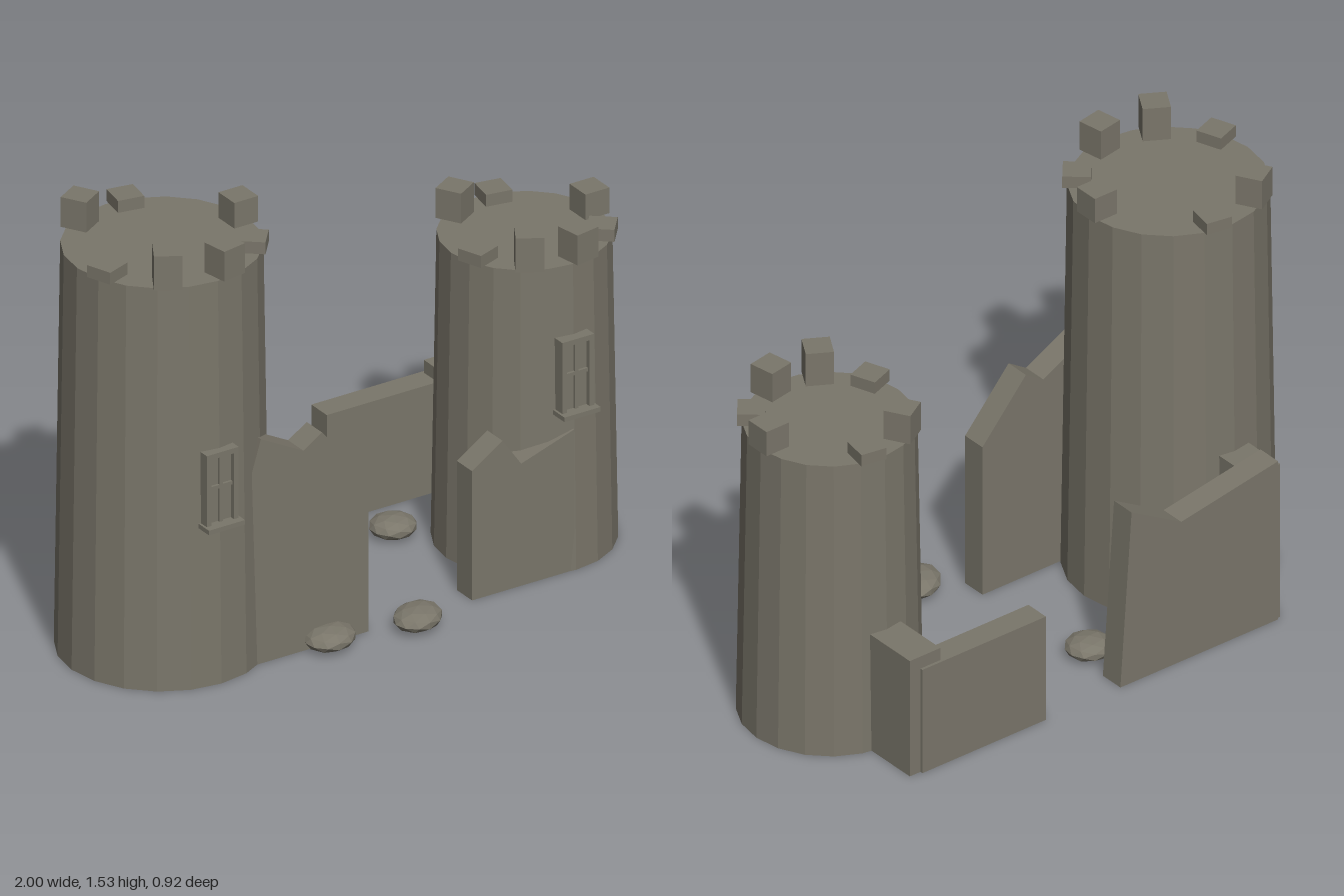
import * as THREE from 'three';

const stone = new THREE.MeshStandardMaterial({ color: 0x7a766a, flatShading: true });
stone.name = 'weathered stone';

function add(parent, name, geometry, x = 0, y = 0, z = 0) {
  const mesh = new THREE.Mesh(geometry, stone);
  mesh.name = name;
  mesh.position.set(x, y, z);
  parent.add(mesh);
  return mesh;
}

// Box given by its min and max corners
function block(parent, name, [x0, y0, z0], [x1, y1, z1]) {
  return add(parent, name, new THREE.BoxGeometry(x1 - x0, y1 - y0, z1 - z0),
    (x0 + x1) / 2, (y0 + y1) / 2, (z0 + z1) / 2);
}

// Broken wall: a front outline pushed from z0 to z1
function wall(parent, name, outline, z0, z1) {
  const shape = new THREE.Shape(outline.map(([x, y]) => new THREE.Vector2(x, y)));
  add(parent, name, new THREE.ExtrudeGeometry(shape, { depth: z1 - z0, bevelEnabled: false }), 0, 0, z0);
}

// Tapered round tower with crumbling merlons; two of the nine are missing
function tower(name, x, z, rBottom, rTop, height) {
  const group = new THREE.Group();
  group.name = name;
  group.position.set(x, 0, z);
  add(group, 'towerShaft', new THREE.CylinderGeometry(rTop, rBottom, height, 20), 0, height / 2, 0);
  const merlonHeights = [0.09, 0.042, 0.105, 0.12, 0.042, 0, 0.105, 0.042, 0];
  merlonHeights.forEach((h, i) => {
    if (!h) return;
    const a = i * Math.PI * 2 / 9, r = rTop - 0.032;
    const merlon = add(group, 'merlon', new THREE.BoxGeometry(0.09, h, 0.09),
      Math.cos(a) * r, height + h / 2, Math.sin(a) * r);
    merlon.rotation.y = -a;
  });
  return group;
}

// Framed window with sill and crossbars; zFront is the face of the frame
function windowUnit(x, zFront) {
  const group = new THREE.Group();
  group.name = 'window';
  group.position.set(x, 0, zFront);
  for (const s of [-1, 1]) {
    add(group, 'windowJamb', new THREE.BoxGeometry(0.018, 0.25, 0.07), s * 0.051, 0.7, -0.035);
  }
  add(group, 'windowHead', new THREE.BoxGeometry(0.084, 0.018, 0.07), 0, 0.816, -0.035);
  add(group, 'windowSill', new THREE.BoxGeometry(0.136, 0.016, 0.1), 0, 0.567, -0.026);
  add(group, 'windowPane', new THREE.BoxGeometry(0.084, 0.232, 0.04), 0, 0.691, -0.038);
  add(group, 'windowMullion', new THREE.BoxGeometry(0.012, 0.232, 0.05), 0, 0.691, -0.034);
  add(group, 'windowTransom', new THREE.BoxGeometry(0.084, 0.012, 0.05), 0, 0.7, -0.034);
  return group;
}

export function createModel() {
  const model = new THREE.Group();
  model.name = 'ruinedCastle';

  // Towers and their windows
  model.add(tower('tallTower', -0.66, 0.03, 0.34, 0.32, 1.41));
  model.add(tower('shortTower', 0.705, 0.03, 0.295, 0.277, 1.07));
  model.add(windowUnit(-0.665, 0.385), windowUnit(0.7, 0.345));

  // Front walls
  wall(model, 'frontWallRight', [[-0.52, 0], [-0.075, 0], [-0.075, 0.55], [-0.25, 0.75],
    [-0.32, 0.705], [-0.48, 0.79], [-0.52, 0.66]], 0.235, 0.322);
  wall(model, 'frontWallLeft', [[0.315, 0], [0.7, 0], [0.7, 0.495], [0.5, 0.43],
    [0.43, 0.53], [0.315, 0.455]], 0.235, 0.322);

  // Back walls and the short returns joining them to the towers
  wall(model, 'backWallRight', [[-0.71, 0], [-0.075, 0], [-0.12, 0.635], [-0.32, 0.52],
    [-0.71, 0.59]], -0.458, -0.37);
  block(model, 'backReturnRight', [-0.725, 0, -0.45], [-0.605, 0.57, -0.2]);
  block(model, 'backWallLeft', [0.225, 0, -0.458], [0.722, 0.385, -0.37]);
  block(model, 'backReturnLeft', [0.642, 0, -0.448], [0.765, 0.43, -0.15]);

  // Fallen stones: x, z, half width, half depth
  const stones = [
    [-0.365, -0.155, 0.078, 0.075], [-0.115, -0.25, 0.08, 0.078], [0.355, -0.19, 0.08, 0.077],
    [-0.235, 0.345, 0.095, 0.08], [0.072, 0.38, 0.097, 0.077], [0.47, 0.22, 0.075, 0.07],
  ];
  stones.forEach(([x, z, w, d], i) => {
    const rock = add(model, 'fallenStone', new THREE.IcosahedronGeometry(1, 1), x, 0.037, z);
    rock.scale.set(w, 0.037, d);
    rock.rotation.y = i * 0.15;
  });

  return model;
}
